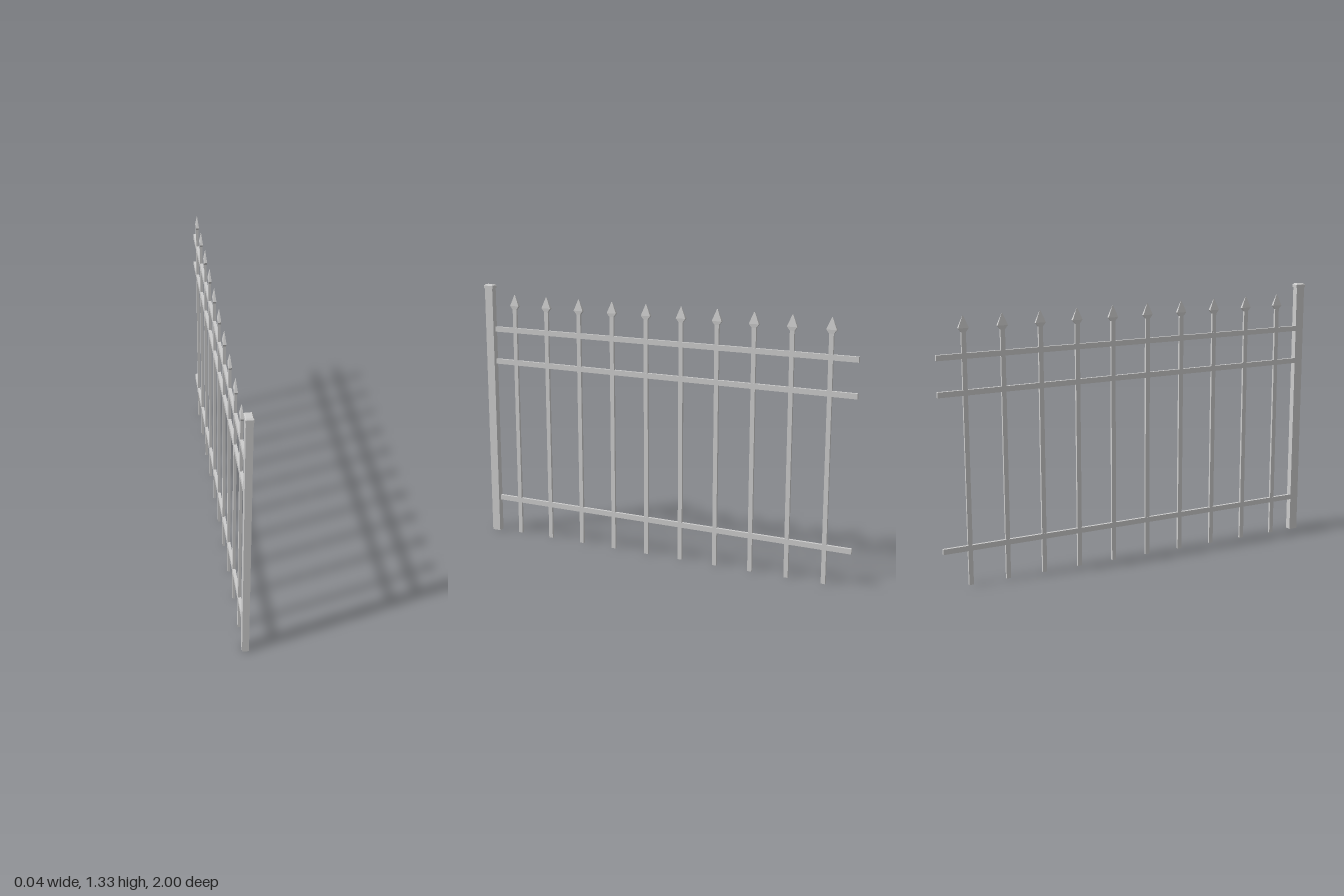
import * as THREE from 'three';

const material = new THREE.MeshStandardMaterial({ color: 0xcccccc, flatShading: true });
const FENCE_X = -0.009; // the panel sits slightly off the post's centre line

function add(group, name, geometry, x, y, z) {
  const mesh = new THREE.Mesh(geometry, material);
  mesh.name = name;
  mesh.position.set(x, y, z);
  group.add(mesh);
}

// Box standing on y = 0 whose top face is scaled by sx, sz
function taperedBox(w, h, d, sx = 1, sz = 1) {
  const geometry = new THREE.BoxGeometry(w, h, d).translate(0, h / 2, 0);
  const p = geometry.attributes.position;
  for (let i = 0; i < p.count; i++) {
    if (p.getY(i) > h / 2) p.setXYZ(i, p.getX(i) * sx, h, p.getZ(i) * sz);
  }
  geometry.computeVertexNormals();
  return geometry;
}

export function createModel() {
  const fence = new THREE.Group();
  fence.name = 'fencePanel';

  // End post with a low bevelled cap
  const postZ = 0.9735;
  add(fence, 'post', taperedBox(0.032, 1.306, 0.045), 0, 0, postZ);
  add(fence, 'postCap', taperedBox(0.037, 0.014, 0.053), 0, 1.305, postZ);
  add(fence, 'postCapTop', taperedBox(0.037, 0.006, 0.053, 0.75, 0.75), 0, 1.319, postZ);

  // Three horizontal rails running from the post to the open end
  for (const y of [0.169, 0.911, 1.08]) {
    add(fence, 'rail', taperedBox(0.014, 0.026, 1.955), FENCE_X, y, -0.0225);
  }

  // Ten pickets with spear heads
  for (let i = 0; i < 10; i++) {
    const picket = new THREE.Group();
    picket.name = 'picket';
    picket.position.set(FENCE_X, 0, 0.831 - i * 0.1886);
    add(picket, 'picketBar', taperedBox(0.0125, 1.205, 0.022), 0, 0, 0);
    add(picket, 'spearNeck', taperedBox(0.0125, 0.018, 0.022, 1.2, 2.3), 0, 1.202, 0);
    add(picket, 'spearTip', taperedBox(0.015, 0.056, 0.0506, 0.12, 0.08), 0, 1.22, 0);
    fence.add(picket);
  }
  return fence;
}
